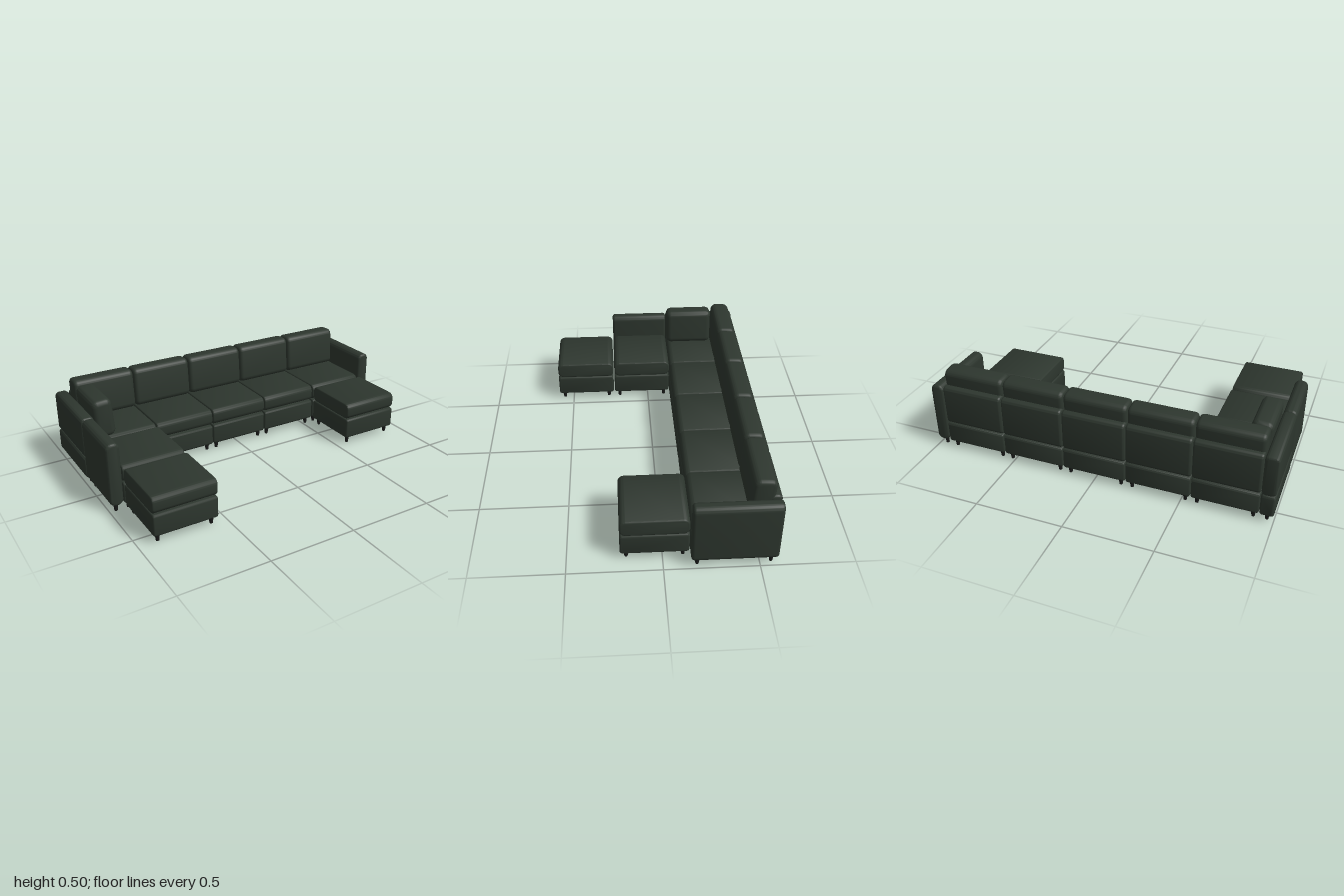
import * as THREE from 'three';
import { toCreasedNormals } from 'three/addons/utils/BufferGeometryUtils.js';

const fabric = new THREE.MeshStandardMaterial({ name: 'dark green fabric', color: 0x2d362e });
const legBlack = new THREE.MeshStandardMaterial({ name: 'black legs', color: 0x1a1b1a });

// Upholstered block: rounded profile (radius r) swept along 'x' or 'z', ends eased by e
function padded(w, h, d, r, e, axis) {
  const length = axis === 'x' ? w : d;
  const a = (axis === 'x' ? d : w) / 2 - e, b = h / 2 - e, c = Math.max(r - e, 0.002);
  const s = new THREE.Shape();
  s.absarc(a - c, b - c, c, 0, Math.PI / 2);
  s.absarc(-a + c, b - c, c, Math.PI / 2, Math.PI);
  s.absarc(-a + c, -b + c, c, Math.PI, Math.PI * 1.5);
  s.absarc(a - c, -b + c, c, Math.PI * 1.5, Math.PI * 2);
  const g = new THREE.ExtrudeGeometry(s, {
    depth: length - 2 * e, bevelSize: e, bevelThickness: e, bevelSegments: 4, curveSegments: 6,
  });
  g.translate(0, 0, e - length / 2);
  if (axis === 'x') g.rotateY(Math.PI / 2);
  return toCreasedNormals(g, 0.7);
}

export function createModel() {
  const model = new THREE.Group();
  model.name = 'sectionalSofa';

  // Places a block by its x, y and z ranges
  function block(name, [x0, x1], [y0, y1], [z0, z1], r, e, axis = 'x') {
    const mesh = new THREE.Mesh(padded(x1 - x0, y1 - y0, z1 - z0, r, e, axis), fabric);
    mesh.name = name;
    mesh.position.set((x0 + x1) / 2, (y0 + y1) / 2, (z0 + z1) / 2);
    model.add(mesh);
    return mesh;
  }

  const legGeometry = new THREE.CylinderGeometry(0.014, 0.009, 0.045, 12);
  function legs(xs, zs) {
    for (const x of xs) for (const z of zs) {
      const leg = new THREE.Mesh(legGeometry, legBlack);
      leg.name = 'leg';
      leg.position.set(x, 0.0225, z);
      model.add(leg);
    }
  }

  const pitch = 0.369, half = 0.182;
  const back = -0.595, front = -0.143;
  const baseY = [0.04, 0.166], seatY = [0.167, 0.266], armY = [0.04, 0.406];

  // Base, seat cushion and four legs of one module
  function seat(name, x, z0, z1, cushionZ0 = z0) {
    const xs = [x - half, x + half];
    block(name + 'Base', xs, baseY, [z0, z1], 0.016, 0.012);
    block(name + 'Cushion', xs, seatY, [cushionZ0, z1], 0.035, 0.012);
    legs([x - 0.152, x + 0.152], [z0 + 0.033, z1 - 0.033]);
  }

  // Main row of five seats with back frames and leaning back cushions
  for (let i = -2; i <= 2; i++) {
    const x = i * pitch, xs = [x - half, x + half];
    seat('seat', x, back, front, -0.521);
    block('backFrame', xs, [0.167, 0.406], [back, -0.52], 0.025, 0.014);
    block('backCushion', xs, [0.262, 0.5], [-0.559, -0.441], 0.036, 0.022).rotation.x = -0.07;
  }

  // Chaise seat and two ottomans
  seat('chaise', -2 * pitch, -0.141, 0.222);
  seat('ottoman', -2 * pitch, 0.229, 0.592);
  seat('ottoman', 2 * pitch, -0.141, 0.222);

  // Arms, with the corner side made of a base and a frame
  const rightX = [-1, -0.923], leftX = [0.923, 1];
  block('leftArm', leftX, armY, [back, front], 0.034, 0.016, 'z');
  block('chaiseArm', rightX, armY, [-0.141, 0.222], 0.034, 0.016, 'z');
  block('cornerSideBase', rightX, baseY, [back, front], 0.016, 0.012, 'z');
  block('cornerSideFrame', rightX, [0.167, 0.406], [back, front], 0.025, 0.014, 'z');
  block('cornerSideCushion', [-0.92, -0.804], [0.262, 0.487], [-0.436, -0.143], 0.036, 0.03, 'z').rotation.z = 0.07;
  legs([-0.962, 0.962], [-0.56, -0.176]);
  legs([-0.962], [-0.108, 0.19]);

  return model;
}
